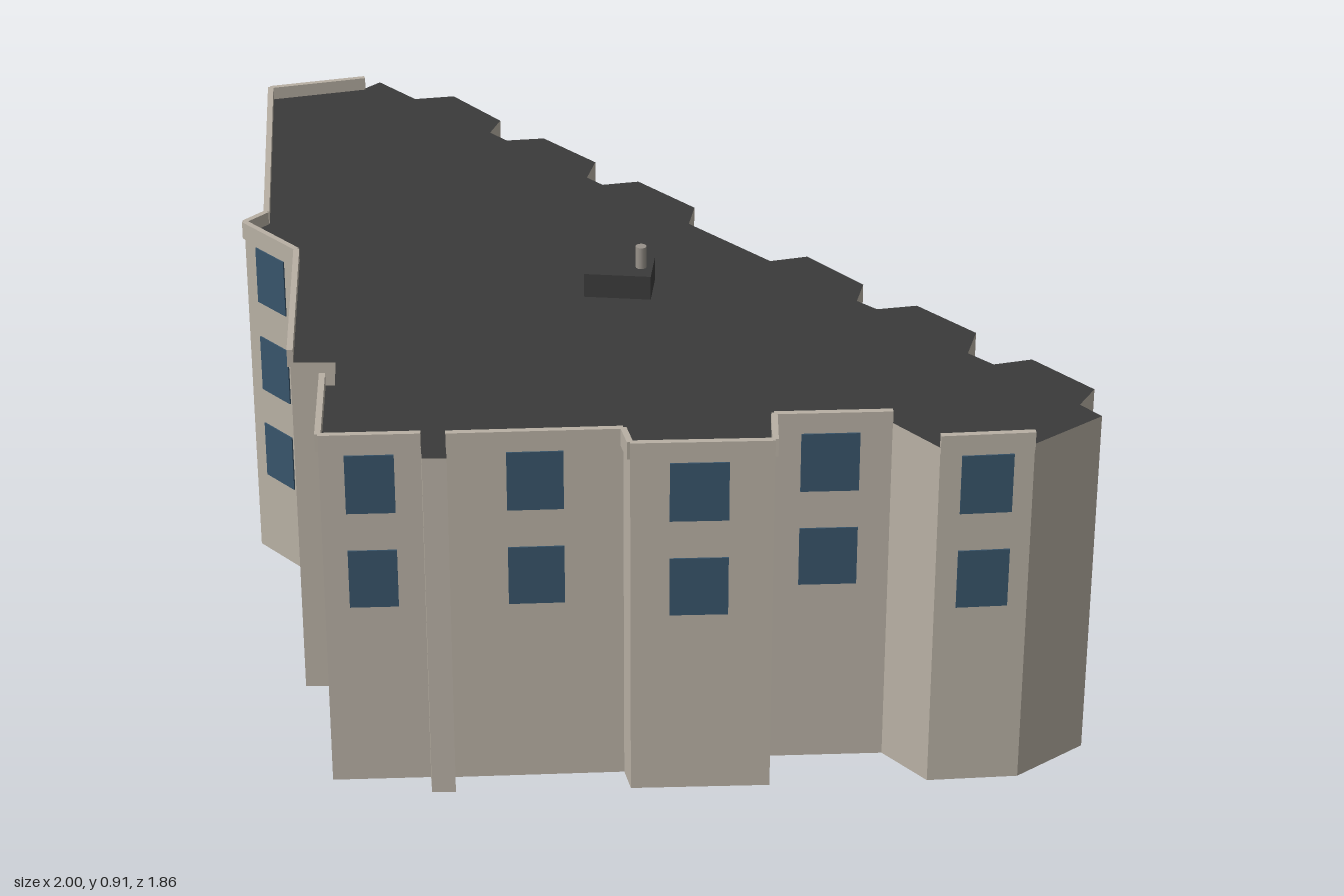
import * as THREE from 'three';

const mat = (name, color) => Object.assign(new THREE.MeshStandardMaterial({ color }), { name });
const wall = mat('stone wall', 0xb8b0a4);
const roof = mat('dark roof', 0x3a3a3a);
const glass = mat('blue glass', 0x38546a);
const trim = mat('grey trim', 0x98928a);
const red = mat('dark red paint', 0x743431);
const canvas = mat('awning red', 0x84483f);

const H = 0.805;

// Footprint corners [x, z], running clockwise as seen from above
const plan = [
  [-0.985, -0.79], [-0.77, -0.87], [-0.74, -0.91], [-0.64, -0.82], [-0.55, -0.845], [-0.42, -0.715],
  [-0.435, -0.645], [-0.39, -0.605], [-0.305, -0.625], [-0.17, -0.505], [-0.18, -0.42], [-0.14, -0.385],
  [-0.06, -0.41], [0.08, -0.285], [0.075, -0.2], [0.27, -0.03], [0.35, -0.06], [0.48, 0.065],
  [0.47, 0.145], [0.515, 0.18], [0.6, 0.155], [0.73, 0.27], [0.715, 0.365], [0.77, 0.41],
  [0.85, 0.38], [0.98, 0.5], [0.95, 0.57], [0.995, 0.615], [0.86, 0.745], [0.67, 0.78],
  [0.57, 0.685], [0.33, 0.72], [0.34, 0.83], [0.05, 0.87], [0.03, 0.81], [-0.325, 0.865],
  [-0.315, 0.92], [-0.365, 0.925], [-0.375, 0.87], [-0.58, 0.9], [-0.615, 0.64], [-0.59, 0.635],
  [-0.605, 0.535], [-0.7, 0.545], [-0.77, 0.07], [-0.91, -0.055], [-0.87, -0.11],
];

function box(parent, name, material, w, h, d, x, y, z) {
  const m = new THREE.Mesh(new THREE.BoxGeometry(w, h, d), material);
  m.name = name;
  m.position.set(x, y, z);
  parent.add(m);
  return m;
}

// Group placed on wall i at fraction t: local +z points outward, local +x to the right
function onWall(parent, name, i, t) {
  const [ax, az] = plan[i], [bx, bz] = plan[(i + 1) % plan.length];
  const g = new THREE.Group();
  g.name = name;
  g.position.set(ax + (bx - ax) * t, 0, az + (bz - az) * t);
  g.rotation.y = Math.atan2(bz - az, ax - bx);
  g.userData.length = Math.hypot(bx - ax, bz - az);
  parent.add(g);
  return g;
}

// Framed sash window with a blind, standing on height y
function sashWindow(g, y) {
  const w = 0.115, h = 0.14;
  box(g, 'sashGlass', glass, w, h, 0.006, 0, y + h / 2, 0.003);
  box(g, 'windowBlind', wall, w, h * 0.25, 0.004, 0, y + h * 0.84, 0.006);
  for (const s of [-1, 1]) box(g, 'windowJamb', trim, 0.014, h, 0.014, s * w / 2, y + h / 2, 0.007);
  box(g, 'windowMullion', trim, 0.008, h * 0.65, 0.01, 0, y + h * 0.36, 0.005);
  box(g, 'meetingRail', trim, w, 0.008, 0.01, 0, y + h * 0.5, 0.005);
  box(g, 'windowHead', trim, w + 0.02, 0.014, 0.016, 0, y + h, 0.008);
  box(g, 'windowSill', trim, w + 0.035, 0.012, 0.024, 0, y, 0.012);
}

function shopfront(parent, i) {
  const g = onWall(parent, 'shopfront', i, 0.5);
  sashWindow(g, 0.645);
  sashWindow(g, 0.42);
  // Sign band with small cornice
  box(g, 'signBand', red, 0.205, 0.025, 0.014, 0, 0.342, 0.007);
  box(g, 'signCornice', red, 0.215, 0.01, 0.024, 0, 0.358, 0.012);
  // Sloping awning
  const profile = new THREE.Shape([[0, 0.325], [0, 0.312], [0.077, 0.27], [0.077, 0.285]]
    .map(p => new THREE.Vector2(...p)));
  const geo = new THREE.ExtrudeGeometry(profile, { depth: 0.206, bevelEnabled: false });
  geo.rotateY(-Math.PI / 2).translate(0.103, 0, 0);
  const awning = new THREE.Mesh(geo, canvas);
  awning.name = 'awning';
  g.add(awning);
  // Shop window
  box(g, 'shopGlass', glass, 0.11, 0.1, 0.006, -0.037, 0.203, 0.003);
  box(g, 'shopWindowHead', red, 0.12, 0.055, 0.009, -0.037, 0.28, 0.0045);
  for (const x of [-0.094, -0.037, 0.02]) box(g, 'shopWindowPost', red, 0.006, 0.1, 0.01, x, 0.203, 0.005);
  box(g, 'shopWindowSill', trim, 0.13, 0.009, 0.018, -0.037, 0.15, 0.009);
  // Door with tall glass and a step
  box(g, 'door', red, 0.075, 0.215, 0.01, 0.062, 0.203, 0.005);
  box(g, 'doorGlass', glass, 0.045, 0.11, 0.004, 0.062, 0.215, 0.0105);
  box(g, 'doorStep', trim, 0.092, 0.01, 0.045, 0.062, 0.092, 0.0225);
}

export function createModel() {
  const model = new THREE.Group();
  model.name = 'building';

  // Walls with dark roof and underside
  const shape = new THREE.Shape(plan.map(([x, z]) => new THREE.Vector2(x, -z)));
  const bodyGeo = new THREE.ExtrudeGeometry(shape, { depth: H, bevelEnabled: false });
  bodyGeo.rotateX(-Math.PI / 2);
  const body = new THREE.Mesh(bodyGeo, [roof, wall]);
  body.name = 'buildingBody';
  model.add(body);

  // Low parapets on the street walls
  for (const i of [0, 28, 30, 31, 32, 33, 34, 38, 39, 43, 44, 45, 46]) {
    const g = onWall(model, 'parapet', i, 0.5);
    box(g, 'parapetWall', wall, g.userData.length, 0.04, 0.013, 0, H + 0.01, 0);
  }

  // Flat windows: [wall, fraction along it, width, rows]
  const windows = [
    [28, 0.49, 0.107, 2], [30, 0.52, 0.121, 2], [32, 0.52, 0.121, 2], [34, 0.5, 0.116, 2],
    [38, 0.51, 0.101, 2], [39, 0.67, 0.13, 2], [43, 0.47, 0.11, 2], [44, 0.52, 0.1, 3],
    [46, 0.7, 0.13, 3], [46, 0.3, 0.13, 3],
  ];
  for (const [i, t, w, rows] of windows) {
    const g = onWall(model, 'windowColumn', i, t);
    for (let r = 0; r < rows; r++) box(g, 'windowPane', glass, w, 0.135, 0.004, 0, 0.717 - r * 0.223, 0.001);
  }

  // Two shopfronts on the rear side
  shopfront(model, 0);
  shopfront(model, 14);

  // Rooftop hut and flue
  box(model, 'roofHut', roof, 0.145, 0.055, 0.1, -0.047, H + 0.0275, 0.132);
  const flue = new THREE.Mesh(new THREE.CylinderGeometry(0.012, 0.012, 0.055, 12), trim);
  flue.name = 'flue';
  flue.position.set(0, H + 0.0775, 0.135);
  model.add(flue);

  return model;
}
